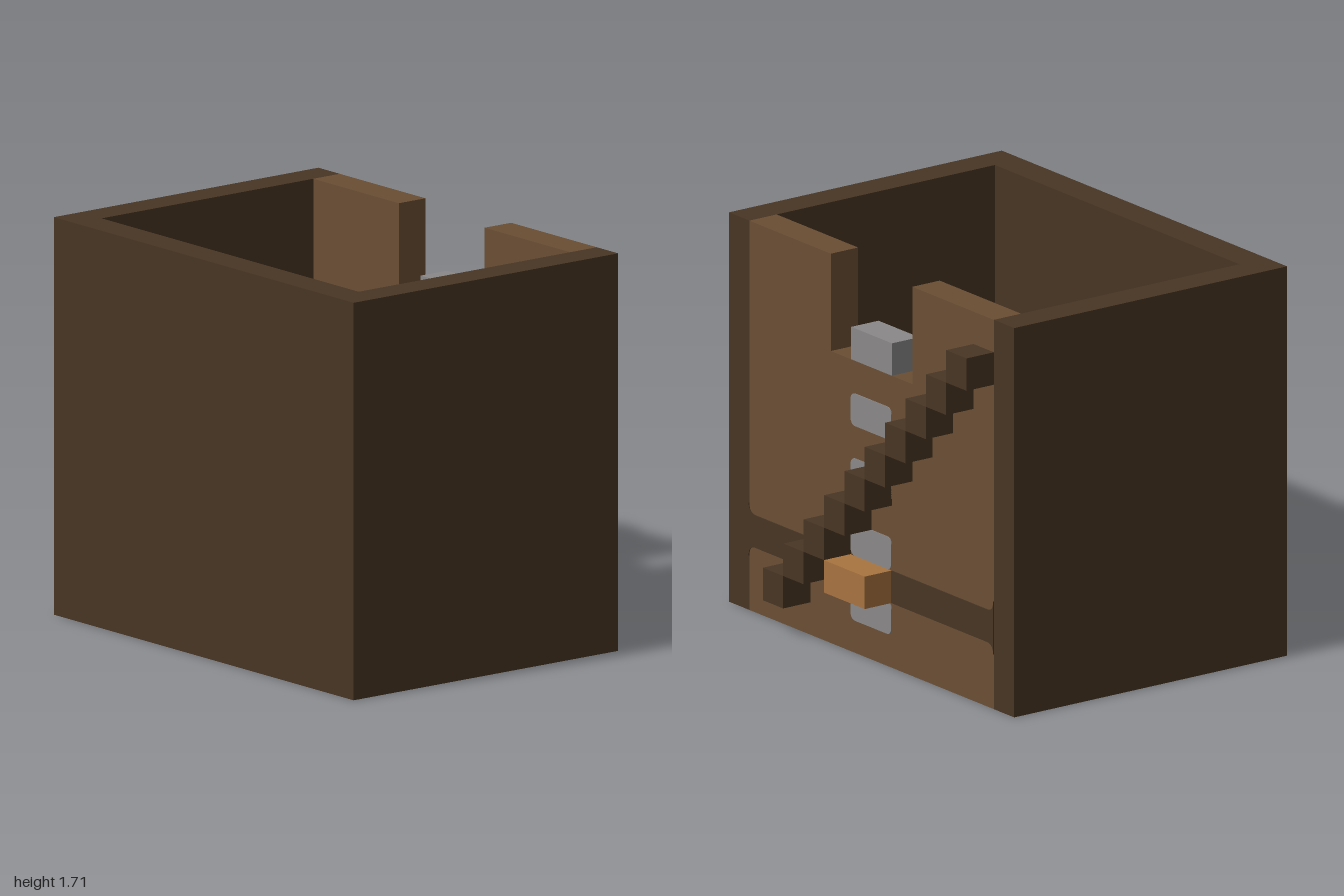
import * as THREE from 'three';

const U = 1 / 7; // one block
const BACK = -4.5 * U; // outer face of the back wall
const PLATE = 0.004;

const mat = (name, color) => {
  const m = new THREE.MeshStandardMaterial({ color });
  m.name = name;
  return m;
};

// Rounded rectangle centred on x = 0, from y0 to y1
function roundedRect(w, y0, y1, r) {
  const s = new THREE.Shape(), h = w / 2;
  s.moveTo(-h + r, y0);
  s.lineTo(h - r, y0);
  s.absarc(h - r, y0 + r, r, -Math.PI / 2, 0);
  s.absarc(h - r, y1 - r, r, 0, Math.PI / 2);
  s.absarc(-h + r, y1 - r, r, Math.PI / 2, Math.PI);
  s.absarc(-h + r, y0 + r, r, Math.PI, Math.PI * 1.5);
  return s;
}

// Horizontal band whose ends flare smoothly into the corner posts
function flaredBand(w, y0, y1, r) {
  const s = new THREE.Shape(), h = w / 2;
  s.moveTo(-h, y0 - r);
  s.quadraticCurveTo(-h, y0, -h + r, y0);
  s.lineTo(h - r, y0);
  s.quadraticCurveTo(h, y0, h, y0 - r);
  s.lineTo(h, y1 + r);
  s.quadraticCurveTo(h, y1, h - r, y1);
  s.lineTo(-h + r, y1);
  s.quadraticCurveTo(-h, y1, -h, y1 + r);
  return s;
}

export function createModel() {
  const model = new THREE.Group();
  model.name = 'blockTower';
  const darkWood = mat('darkWood', 0x483523);
  const planks = mat('planks', 0x6b4e34);
  const stone = mat('stone', 0x8a8888);
  const orangeWood = mat('orangeWood', 0xa87440);

  // Box given by its lower and upper corners, in blocks
  const box = (name, m, x0, x1, y0, y1, z0, z1) => {
    const g = new THREE.BoxGeometry((x1 - x0) * U, (y1 - y0) * U, (z1 - z0) * U);
    const mesh = new THREE.Mesh(g, m);
    mesh.name = name;
    mesh.position.set((x0 + x1) / 2 * U, (y0 + y1) / 2 * U, (z0 + z1) / 2 * U);
    model.add(mesh);
  };
  const extrude = (name, m, shape, depth, z) => {
    const g = new THREE.ExtrudeGeometry(shape, { depth, bevelEnabled: false, curveSegments: 6 });
    const mesh = new THREE.Mesh(g, m);
    mesh.name = name;
    mesh.position.z = z;
    model.add(mesh);
  };

  // Outer walls, open at top and bottom
  box('frontWall', darkWood, -7, 7, 0, 12, 4.5, 5.5);
  box('leftWall', darkWood, 6, 7, 0, 12, -4.5, 4.5);
  box('rightWall', darkWood, -7, -6, 0, 12, -4.5, 4.5);

  // Back wall with a notch in the top
  const wall = new THREE.Shape(
    [[-6, 0], [6, 0], [6, 12], [2, 12], [2, 9], [-2, 9], [-2, 12], [-6, 12]]
      .map(([x, y]) => new THREE.Vector2(x * U, y * U)));
  extrude('backWall', planks, wall, U, BACK);

  // Dark band and stone inlays on both faces of the back wall
  for (const z of [BACK - PLATE, BACK + U]) {
    extrude('wallBand', darkWood, flaredBand(12 * U, 2 * U, 3 * U, 0.045), PLATE, z);
    for (const y of [1, 3, 5, 7]) {
      extrude('stoneInlay', stone, roundedRect(2 * U, y * U, (y + 1) * U, 0.03), PLATE, z);
    }
  }

  // Stone block in the notch and wooden ledge on the back
  box('notchBlock', stone, -1, 1, 9, 10, -4.5, -3.5);
  box('backLedge', orangeWood, -1, 1, 2, 3, -5.5, -4.5);

  // Stairs climbing across the back
  for (let i = 0; i < 10; i++) {
    box('stairStep', darkWood, 3 - i, 4 - i, 1 + i, 2 + i, -5.5, -4.5);
  }
  return model;
}
